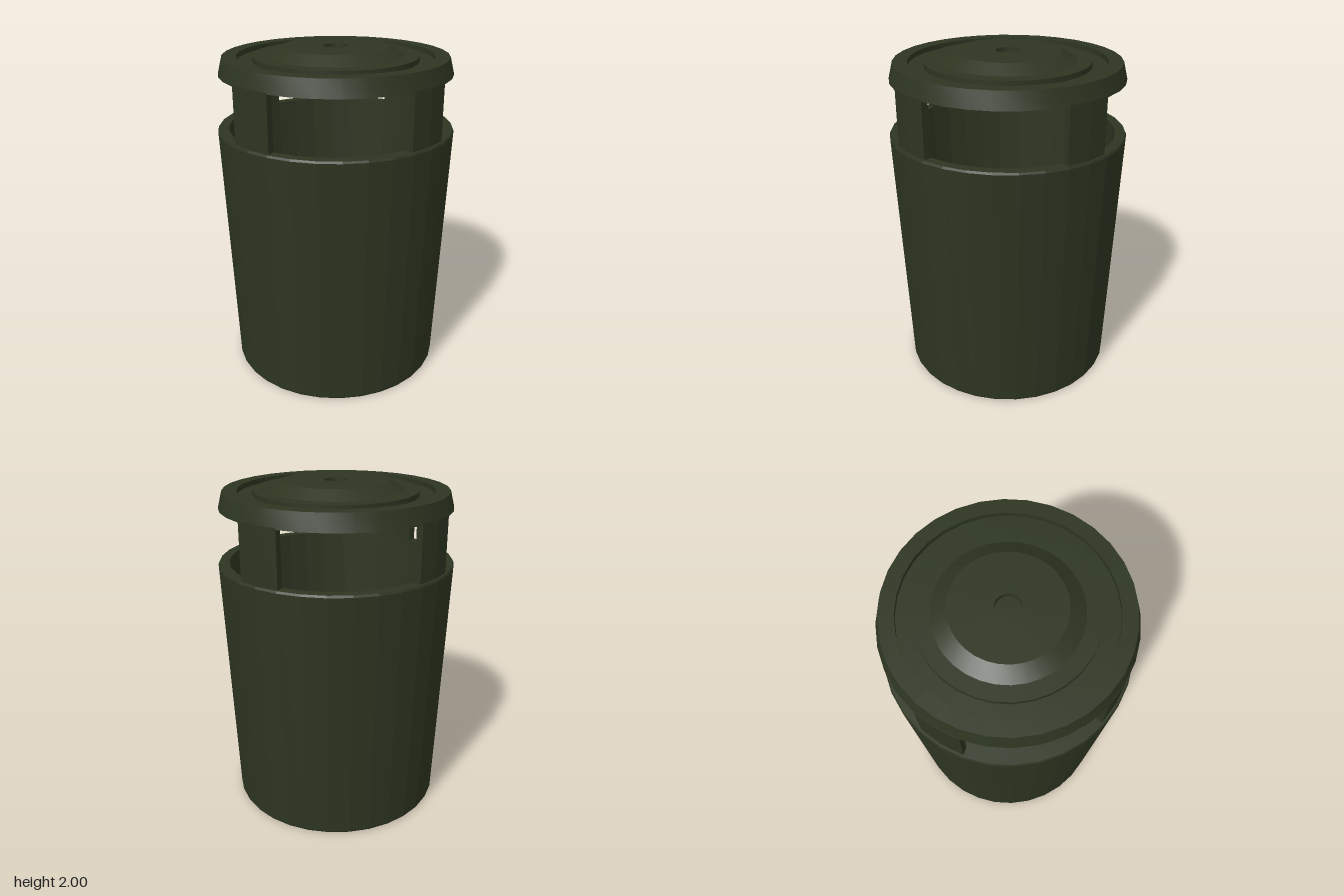
import * as THREE from 'three';
import { toCreasedNormals } from 'three/addons/utils/BufferGeometryUtils.js';

const SIDES = 32;
const STEP = (Math.PI * 2) / SIDES;

const green = new THREE.MeshStandardMaterial({ color: 0x2d3521 });
const facetedGreen = new THREE.MeshStandardMaterial({ color: 0x2d3521, flatShading: true });

// Solid of revolution from [radius, height] pairs, listed counterclockwise
function turned(name, profile, material) {
  const points = profile.map(([r, y]) => new THREE.Vector2(r, y));
  const lathe = new THREE.LatheGeometry(points, SIDES);
  const geometry = material.flatShading ? lathe : toCreasedNormals(lathe, 0.4);
  const mesh = new THREE.Mesh(geometry, material);
  mesh.name = name;
  return mesh;
}

// Upright post whose plan is a two-facet arc of the bin wall
function post(inner, outer, bottom, top) {
  const at = (r, i) => new THREE.Vector2(r * Math.cos(i * STEP), r * Math.sin(i * STEP));
  const plan = new THREE.Shape([
    at(outer, -1), at(outer, 0), at(outer, 1),
    at(inner, 1), at(inner, 0), at(inner, -1),
  ]);
  const geometry = new THREE.ExtrudeGeometry(plan, { depth: top - bottom, bevelEnabled: false });
  geometry.rotateX(-Math.PI / 2).translate(0, bottom, 0);
  return new THREE.Mesh(geometry, facetedGreen);
}

export function createModel() {
  const model = new THREE.Group();
  model.name = 'litterBin';

  // Tapered hollow body with a narrow chamfer at the rim
  model.add(turned('body', [
    [0, 0], [0.64, 0], [0.645, 0.01],
    [0.703, 1.52], [0.697, 1.532],
    [0.638, 1.532], [0.585, 0.05], [0, 0.05],
  ], facetedGreen));

  // Four posts carrying the lid
  const posts = new THREE.Group();
  posts.name = 'posts';
  for (let i = 0; i < 4; i++) {
    const mesh = post(0.64, 0.685, 1.525, 1.86);
    mesh.rotation.y = (i * Math.PI) / 2;
    mesh.name = 'post' + (i + 1);
    posts.add(mesh);
  }
  model.add(posts);

  // Lid with sloped edge, ring groove, raised centre and small round recess
  model.add(turned('lid', [
    [0, 1.852], [0.685, 1.852], [0.66, 1.95],
    [0.575, 1.95], [0.575, 1.92], [0.485, 1.92], [0.485, 1.95],
    [0.398, 1.95], [0.31, 2], [0.07, 2], [0.07, 1.97], [0, 1.97],
  ], green));

  return model;
}
